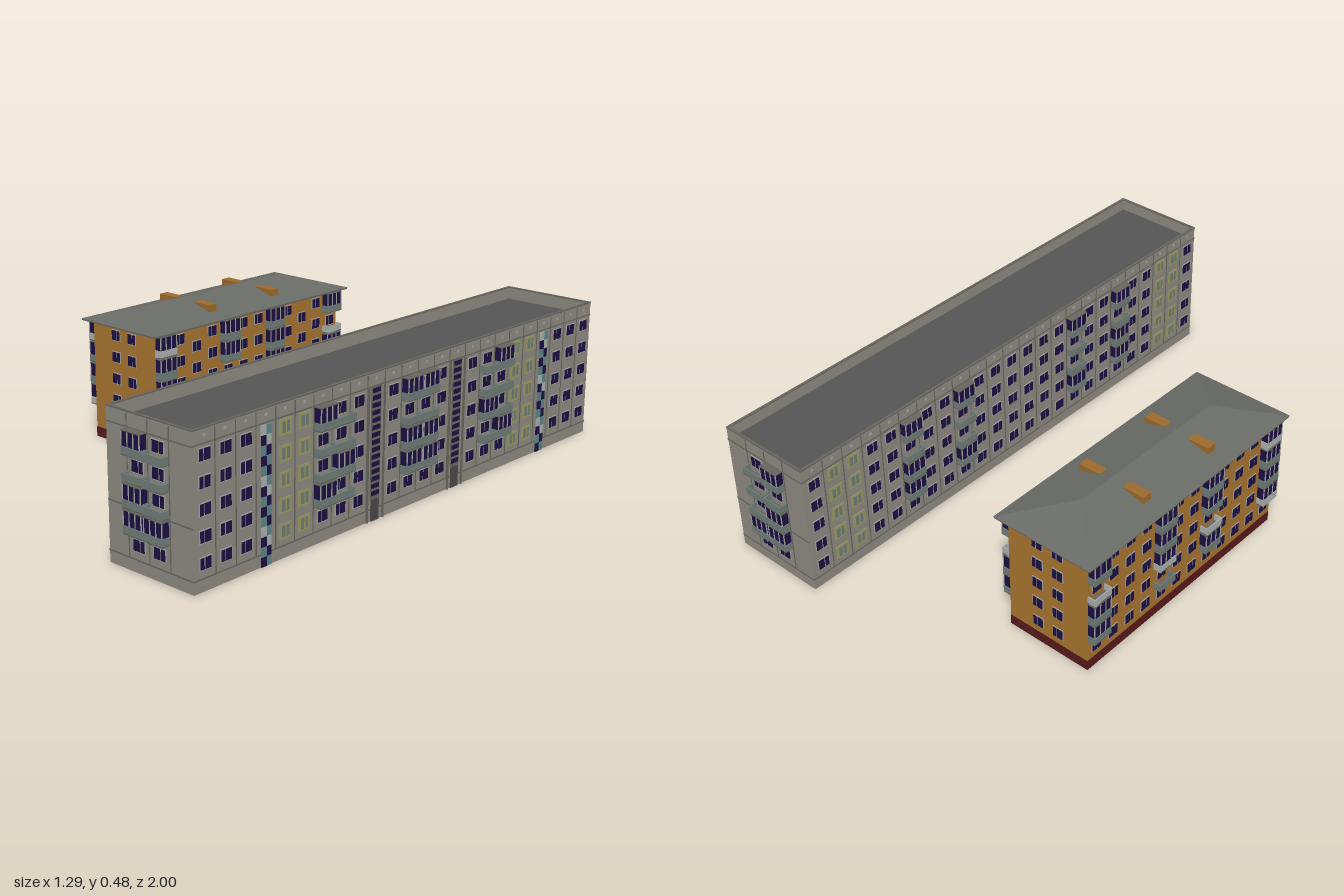
import * as THREE from 'three';
import { mergeGeometries } from 'three/addons/utils/BufferGeometryUtils.js';

const C = { panel: 0x8c8a80, seam: 0x66655f, lining: 0xcccccc, roof: 0x555555, glass: 0x1a1040, frame: 0xa3a3a0,
  rail: 0x6f7d78, paleRail: 0xaab0ae, yellow: 0x9a9a60, teal: 0x5f8588, door: 0x4a4a4a, brown: 0x4a4020,
  ochre: 0xa87430, red: 0x571a1c, tin: 0x686b65, wood: 0x9c6a2c };

// Collects boxes by part name and merges each part into one mesh
function makeBuilding(name) {
  const group = new THREE.Group(), parts = new Map();
  group.name = name;
  const box = (part, color, x, y, z, w, h, d) => {
    if (!parts.has(part)) parts.set(part, { color, list: [] });
    parts.get(part).list.push(new THREE.BoxGeometry(w, h, d).translate(x, y, z));
  };
  // A facade maps (u along the wall, y, d outwards) to the model; y is the box centre
  const facade = (axis, at, out) => (part, color, u, y, d, w, h, t) =>
    axis === 'x' ? box(part, color, at + out * d, y, u, t, h, w) : box(part, color, u, y, at + out * d, w, h, t);
  const finish = () => {
    for (const [part, { color, list }] of parts) {
      const mesh = new THREE.Mesh(mergeGeometries(list), new THREE.MeshStandardMaterial({ color }));
      mesh.name = part;
      group.add(mesh);
    }
    return group;
  };
  return { group, box, facade, finish };
}

// Four thin walls around an open-bottomed volume
function walls(box, part, color, x0, x1, z0, z1, y0, y1, t, inset = 0) {
  const cx = (x0 + x1) / 2, cz = (z0 + z1) / 2, cy = (y0 + y1) / 2, h = y1 - y0;
  for (const s of [-1, 1]) {
    box(part, color, cx + s * ((x1 - x0) / 2 - inset - t / 2), cy, cz, t, h, z1 - z0 - 2 * inset);
    box(part, color, cx, cy, cz + s * ((z1 - z0) / 2 - inset - t / 2), x1 - x0 - 2 * inset, h, t);
  }
}

// Two panes in a frame; the panes reach through the wall
function windowUnit(f, u, y, w = 0.046, h = 0.04) {
  f('windowFrames', C.frame, u, y, 0, w, h, 0.004);
  f('windowPanes', C.glass, u - w * 0.2, y, -0.007, w * 0.48, h - 0.006, 0.022);
  f('windowPanes', C.glass, u + w * 0.29, y, -0.007, w * 0.3, h - 0.006, 0.022);
}

// Slab, three rail panels and optional glazing
function balcony(f, u, base, glazed, railPart = 'balconyRails', railColor = C.rail) {
  const w = 0.077, d = 0.028, rh = 0.027, gh = 0.045;
  f('balconySlabs', C.seam, u, base + 0.002, d / 2, w, 0.004, d);
  f(railPart, railColor, u, base + rh / 2, d - 0.0015, w, rh, 0.003);
  for (const s of [-1, 1]) f(railPart, railColor, u + s * (w / 2 - 0.0015), base + rh / 2, d / 2, 0.003, rh, d);
  if (!glazed) return;
  f('balconyGlazing', C.glass, u, base + rh + gh / 2, d / 2 - 0.001, w - 0.004, gh, d - 0.002);
  f('balconyRoofs', C.seam, u, base + rh + gh + 0.0015, d / 2, w, 0.003, d);
  for (const k of [-1, -0.33, 0.33, 1])
    f('balconyMullions', C.frame, u + k * (w / 2 - 0.002), base + rh + gh / 2, d - 0.0015, 0.003, gh, 0.003);
}

function panelBlock() {
  const b = makeBuilding('longPanelBlock'), { box } = b;
  const X0 = 0.27, X1 = 0.615, Z = 0.97, cx = (X0 + X1) / 2, step = 0.0805;
  const floorY = k => 0.085 + 0.079 * k, railY = k => 0.12 + 0.0785 * (k - 1);
  walls(box, 'outerWalls', C.panel, X0, X1, -Z, Z, 0, 0.475, 0.007);
  walls(box, 'innerLining', C.lining, X0, X1, -Z, Z, 0.04, 0.42, 0.004, 0.007);
  box('flatRoof', C.roof, cx, 0.43, 0, X1 - X0 - 0.012, 0.006, 2 * Z - 0.012);
  walls(box, 'parapetCap', C.seam, X0 - 0.001, X1 + 0.001, -Z - 0.001, Z + 0.001, 0.473, 0.477, 0.009);
  // Ground floors of the end entrances
  for (const s of [-1, 1]) {
    box('entranceFloors', C.brown, cx + 0.08, 0.045, s * 0.68, 0.15, 0.004, 0.14);
    box('entranceFloors', C.brown, cx, 0.045, s * 0.86, 0.3, 0.004, 0.17);
  }

  // Long sides: 24 columns, mirrored about the middle
  const street = b.facade('x', X1, 1), yard = b.facade('x', X0, -1);
  for (const [f, isStreet] of [[street, true], [yard, false]]) {
    for (const y of [0.04, 0.432]) f('panelSeams', C.seam, 0, y, 0, 2 * Z, 0.004, 0.004);
    for (const s of [-1, 1]) for (let i = 0; i < 12; i++) {
      const u = s * (i + 0.5) * step;
      f('panelSeams', C.seam, s * i * step, 0.255, 0, 0.003, 0.43, 0.004);
      f('roofVents', C.frame, u, 0.455, 0, 0.01, 0.008, 0.003);
      if (isStreet && i === 2) {
        // Stairwell glass strips over a door
        f('stairwellPanels', C.seam, u, 0.25, 0, 0.046, 0.36, 0.004);
        for (let k = 0; k < 15; k++) f('stairwellGlass', C.glass, u, 0.09 + k * 0.0235, 0, 0.036, 0.014, 0.008);
        f('entranceDoors', C.door, u, 0.035, 0, 0.036, 0.07, 0.008);
        for (const e of [-1, 1]) f('stairwellEdges', C.seam, u + e * 0.037, 0.215, 0.002, 0.004, 0.43, 0.008);
        continue;
      }
      if (isStreet && i === 8) {
        // Tiled stairwell strip
        for (let k = 0; k < 14; k++) for (const e of [-1, 1]) {
          const tone = (k * 2 + (e > 0 ? 3 : 0)) % 5;
          const [n, c] = tone < 2 ? ['stripTeal', C.teal] : tone < 4 ? ['stripGlass', C.glass] : ['stripPale', C.paleRail];
          f(n, c, u + e * 0.01, 0.015 + k * 0.0305, 0, 0.02, 0.029, 0.008);
        }
        continue;
      }
      const yellow = isStreet ? i === 6 || i === 7 : i === 9 || i === 10;
      const bays = isStreet ? [0, 4, 5] : [3, 6];
      for (let k = 0; k < 5; k++) {
        const y = floorY(k);
        if (yellow) {
          f('yellowSurrounds', C.yellow, u, y, 0, 0.05, 0.048, 0.005);
          f('yellowPanes', C.rail, u, y, 0.001, 0.03, 0.034, 0.006);
          f('yellowBars', C.yellow, u, y, 0.002, 0.004, 0.034, 0.006);
        } else windowUnit(f, u, y);
        if (bays.includes(i) && k > 0) {
          const glazed = i === 0 ? k !== 3 : i === 5 ? k === 4 || k === 1 : i === 4 ? k === 2 : k !== 3 && (k + i) % 4 !== 1;
          balcony(f, u, railY(k), glazed);
        }
      }
    }
  }

  // End walls with paired balconies
  for (const s of [-1, 1]) {
    const f = b.facade('z', s * Z, s);
    for (const u of [0.355, 0.44, 0.525]) f('panelSeams', C.seam, u, 0.255, 0, 0.003, 0.43, 0.004);
    for (const y of [0.04, 0.195, 0.43]) f('panelSeams', C.seam, cx, y, 0, X1 - X0, 0.004, 0.004);
    [0.398, 0.482].forEach((u, c) => {
      for (let k = 0; k < 5; k++) {
        windowUnit(f, u, floorY(k), 0.05);
        if (k > 0) balcony(f, u, railY(k), c === 0 ? k !== 3 : k === 1);
      }
    });
  }
  return b.finish();
}

function hipHouse() {
  const b = makeBuilding('hipRoofHouse'), { box } = b;
  const X0 = -0.615, X1 = -0.305, Z0 = -0.675, Z1 = 0.25, cx = -0.46, cz = -0.2125;
  const step = (Z1 - Z0) / 12, floorY = k => 0.08 + 0.0775 * k;
  walls(box, 'ochreWalls', C.ochre, X0, X1, Z0, Z1, 0.035, 0.428, 0.012);
  walls(box, 'redPlinth', C.red, X0 - 0.001, X1 + 0.001, Z0 - 0.001, Z1 + 0.001, 0, 0.036, 0.025);

  // Hip roof: a box whose top edge is drawn in to a ridge
  box('eaves', C.seam, cx, 0.427, cz, 0.37, 0.006, 0.98);
  const hip = new THREE.BoxGeometry(0.375, 0.053, 0.985).toNonIndexed(), p = hip.attributes.position;
  for (let i = 0; i < p.count; i++) if (p.getY(i) > 0) { p.setX(i, 0); p.setZ(i, Math.sign(p.getZ(i)) * 0.31); }
  hip.computeVertexNormals();
  const roof = new THREE.Mesh(hip.translate(cx, 0.4565, cz), new THREE.MeshStandardMaterial({ color: C.tin, flatShading: true }));
  roof.name = 'hipRoof';
  b.group.add(roof);
  for (const z of [-0.37, -0.055]) for (const s of [-1, 1]) {
    box('dormers', C.wood, cx + s * 0.0875, 0.459, z, 0.075, 0.026, 0.036);
    box('dormerCaps', C.wood, cx + s * 0.075, 0.466, z, 0.06, 0.011, 0.024);
  }

  // Long sides
  for (const [at, out] of [[X1, 1], [X0, -1]]) {
    const f = b.facade('x', at, out);
    for (let i = 0; i < 12; i++) {
      const u = Z0 + (i + 0.5) * step, stair = out > 0 && (i === 2 || i === 9);
      for (let k = 0; k < 5; k++) {
        if (stair && k === 4) continue;
        windowUnit(f, u, floorY(k) + (stair ? 0.039 : 0), 0.042);
        if (k > 0 && [0, 4, 7, 11].includes(i)) {
          const pale = (i + k) % 3 === 0;
          balcony(f, u, 0.115 + 0.0775 * (k - 1), (i + 2 * k) % 5 !== 1,
            pale ? 'paleBalconyRails' : 'balconyRails', pale ? C.paleRail : C.rail);
        }
      }
      if (!stair) continue;
      // Entrance porch with canopy and posts
      f('entranceDoors', C.door, u, 0.035, 0, 0.036, 0.066, 0.006);
      f('porchCanopies', C.wood, u, 0.074, 0.018, 0.075, 0.005, 0.036);
      f('porchSteps', C.wood, u, 0.002, 0.015, 0.075, 0.004, 0.03);
      for (const e of [-1, 1]) f('porchPosts', C.wood, u + e * 0.032, 0.037, 0.022, 0.005, 0.072, 0.005);
    }
  }

  // End walls
  for (const [at, out] of [[Z1, 1], [Z0, -1]]) {
    const f = b.facade('z', at, out);
    for (const u of [-0.5, -0.42]) for (let k = 0; k < 5; k++) windowUnit(f, u, floorY(k), 0.042);
  }
  return b.finish();
}

export function createModel() {
  const model = new THREE.Group();
  model.name = 'apartmentBuildings';
  model.add(panelBlock(), hipHouse());
  return model;
}
